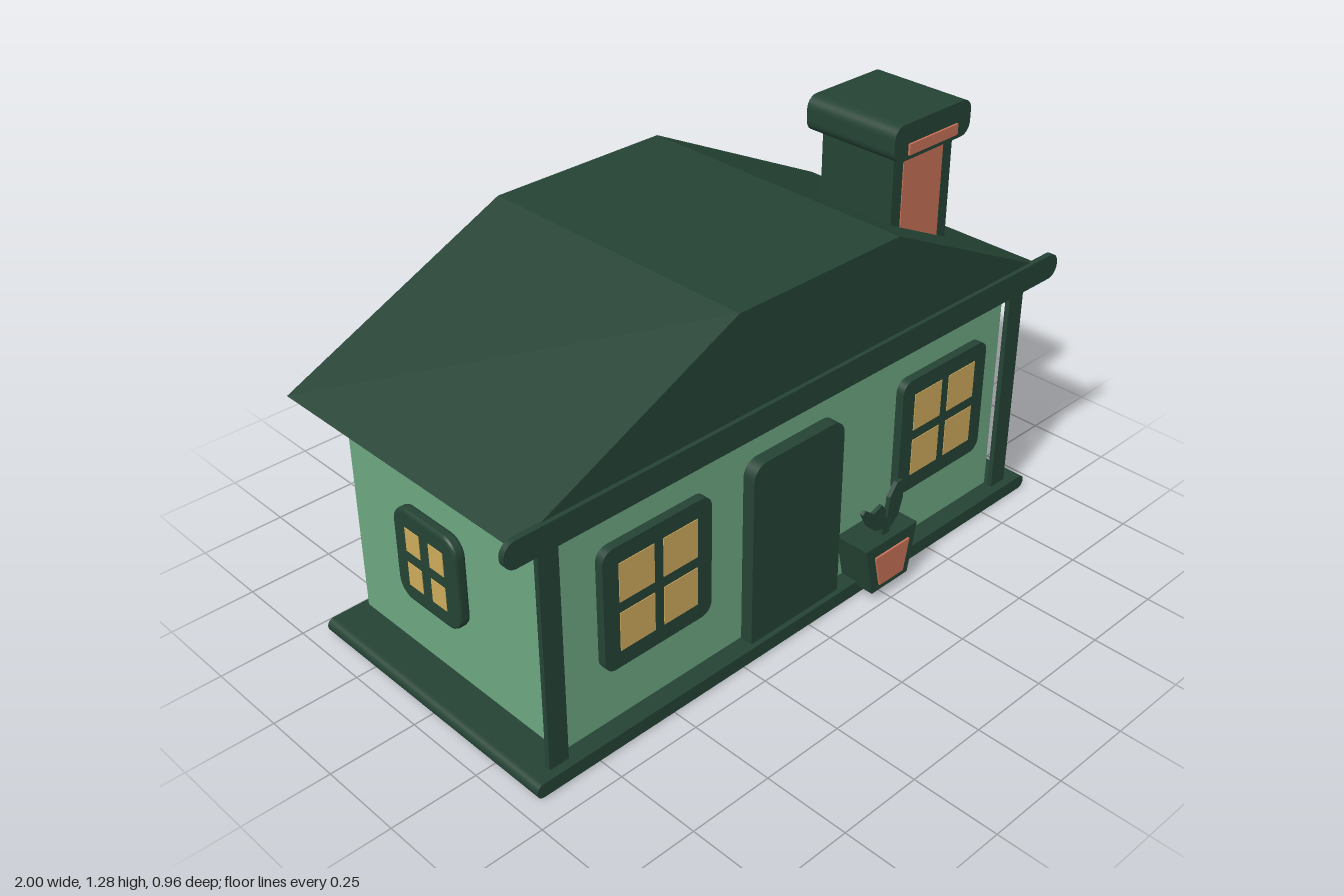
import * as THREE from 'three';

const mat = (name, color) => {
  const m = new THREE.MeshStandardMaterial({ color });
  m.name = name;
  return m;
};

export function createModel() {
  const house = new THREE.Group();
  house.name = 'cottage';
  const darkGreen = mat('dark green', 0x254335);
  const lightGreen = mat('light green', 0x6ca882);
  const terracotta = mat('terracotta', 0xc87257);
  const yellow = mat('window yellow', 0xcfab5c);

  const add = (name, geo, material, parent = house) => {
    const mesh = new THREE.Mesh(geo, material);
    mesh.name = name;
    parent.add(mesh);
    return mesh;
  };

  // Box from its minimum and maximum corners
  const box = (name, material, x0, x1, y0, y1, z0, z1, parent) => {
    const m = add(name, new THREE.BoxGeometry(x1 - x0, y1 - y0, z1 - z0), material, parent);
    m.position.set((x0 + x1) / 2, (y0 + y1) / 2, (z0 + z1) / 2);
    return m;
  };

  // Outline in x/y, extruded from z0 to z1
  const slab = (name, material, shape, z0, z1, parent, bevel = 0) => {
    const geo = new THREE.ExtrudeGeometry(shape, {
      depth: z1 - z0 - bevel, curveSegments: 6, bevelEnabled: false,
    });
    if (bevel) {
      geo.dispose();
      const soft = new THREE.ExtrudeGeometry(shape, {
        depth: z1 - z0 - 2 * bevel, curveSegments: 6, bevelEnabled: true,
        bevelThickness: bevel, bevelSize: bevel, bevelOffset: -bevel, bevelSegments: 2,
      });
      soft.translate(0, 0, z0 + bevel);
      return add(name, soft, material, parent);
    }
    geo.translate(0, 0, z0);
    return add(name, geo, material, parent);
  };

  const poly = (pts) => new THREE.Shape(pts.map(([x, y]) => new THREE.Vector2(x, y)));

  // Rectangle with separate bottom and top corner radii
  const rounded = (x0, x1, y0, y1, rBottom, rTop = rBottom) => {
    const s = new THREE.Shape();
    s.moveTo(x0 + rBottom, y0);
    s.lineTo(x1 - rBottom, y0);
    if (rBottom) s.absarc(x1 - rBottom, y0 + rBottom, rBottom, -Math.PI / 2, 0);
    s.lineTo(x1, y1 - rTop);
    s.absarc(x1 - rTop, y1 - rTop, rTop, 0, Math.PI / 2);
    s.lineTo(x0 + rTop, y1);
    s.absarc(x0 + rTop, y1 - rTop, rTop, Math.PI / 2, Math.PI);
    s.lineTo(x0, y0 + rBottom);
    if (rBottom) s.absarc(x0 + rBottom, y0 + rBottom, rBottom, Math.PI, Math.PI * 1.5);
    return s;
  };

  // Window facing +z with its outer face at z = 0 and four panes
  const makeWindow = (name, w, h, r, depth, paneX, paneY, bevel) => {
    const g = new THREE.Group();
    g.name = name;
    slab('windowFrame', darkGreen, rounded(-w / 2, w / 2, -h / 2, h / 2, r), -depth, 0, g, bevel);
    for (const sx of [-1, 1]) for (const sy of [-1, 1]) {
      const xs = paneX.map((v) => v * sx).sort((a, b) => a - b);
      const ys = paneY.map((v) => v * sy).sort((a, b) => a - b);
      box('windowPane', yellow, ...xs, ...ys, -0.001, 0.002, g);
    }
    house.add(g);
    return g;
  };

  // Base slab, walls and floor
  slab('base', darkGreen, rounded(-0.95, 0.945, 0.003, 0.045, 0.02), -0.45, 0.425);
  box('walls', lightGreen, -0.83, 0.825, 0.04, 0.745, -0.43, 0.37);
  box('floorUnderside', lightGreen, -0.83, 0.5, 0, 0.004, -0.42, 0.36);

  // Corner posts
  for (const x of [-0.86, 0.85]) box('cornerPost', darkGreen, x - 0.03, x + 0.03, 0.04, 0.74, 0.385, 0.4);

  // Roof and front eave
  slab('roof', darkGreen, poly([[-0.96, 0.74], [0.955, 0.74], [0.3, 1.06], [-0.27, 1.06]]), -0.48, 0.41);
  slab('frontEave', darkGreen, rounded(-1, 1, 0.7, 0.775, 0.036), 0.405, 0.422);

  // Door
  slab('door', darkGreen, rounded(-0.21, 0.125, 0.04, 0.6, 0, 0.045), 0.372, 0.41);

  // Front windows
  for (const x of [-0.535, 0.5375]) {
    makeWindow('frontWindow', 0.355, 0.36, 0.035, 0.025, [0.015, 0.128], [0.016, 0.13], 0)
      .position.set(x, 0.418, 0.41);
  }

  // Side and back windows
  const smallWindow = (name) =>
    makeWindow(name, 0.25, 0.275, 0.05, 0.033, [0.019, 0.075], [0.017, 0.087], 0.008);
  const left = smallWindow('leftWindow');
  left.position.set(0.89, 0.418, -0.03);
  left.rotation.y = Math.PI / 2;
  const right = smallWindow('rightWindow');
  right.position.set(-0.9, 0.418, -0.03);
  right.rotation.y = -Math.PI / 2;
  const back = smallWindow('backWindow');
  back.position.set(0, 0.45, -0.47);
  back.rotation.y = Math.PI;

  // Chimney with terracotta panels front and back
  const chimney = new THREE.Group();
  chimney.name = 'chimney';
  house.add(chimney);
  box('chimneyStack', darkGreen, 0.445, 0.682, 0.8, 1.19, 0.013, 0.26, chimney);
  box('chimneyFrontPanel', terracotta, 0.483, 0.642, 0.82, 1.178, 0.258, 0.263, chimney);
  box('chimneyBackPanel', terracotta, 0.483, 0.642, 0.82, 1.178, 0.005, 0.014, chimney);
  slab('chimneyCap', darkGreen, rounded(0.41, 0.717, 1.178, 1.28, 0.035), -0.015, 0.288, chimney);
  box('chimneyCapStrip', terracotta, 0.465, 0.66, 1.192, 1.223, 0.287, 0.294, chimney);

  // Flower pot and plant
  const pot = new THREE.Group();
  pot.name = 'flowerPot';
  house.add(pot);
  slab('potBody', darkGreen, poly([[0.193, 0.03], [0.34, 0.03], [0.37, 0.185], [0.16, 0.185]]), 0.37, 0.478, pot);
  slab('potPanel', terracotta, poly([[0.218, 0.05], [0.315, 0.05], [0.335, 0.15], [0.196, 0.15]]), 0.477, 0.484, pot);
  slab('stem', darkGreen, poly([[0.25, 0.18], [0.28, 0.18], [0.28, 0.25], [0.255, 0.25]]), 0.443, 0.455, pot);
  slab('leftLeaf', darkGreen, poly([[0.27, 0.205], [0.265, 0.255], [0.24, 0.293], [0.205, 0.28],
    [0.17, 0.307], [0.16, 0.298], [0.185, 0.25], [0.215, 0.22]]), 0.447, 0.458, pot);
  slab('rightLeaf', darkGreen, poly([[0.27, 0.21], [0.3, 0.235], [0.317, 0.29], [0.312, 0.345],
    [0.29, 0.347], [0.262, 0.31], [0.255, 0.25]]), 0.452, 0.465, pot);

  return house;
}
